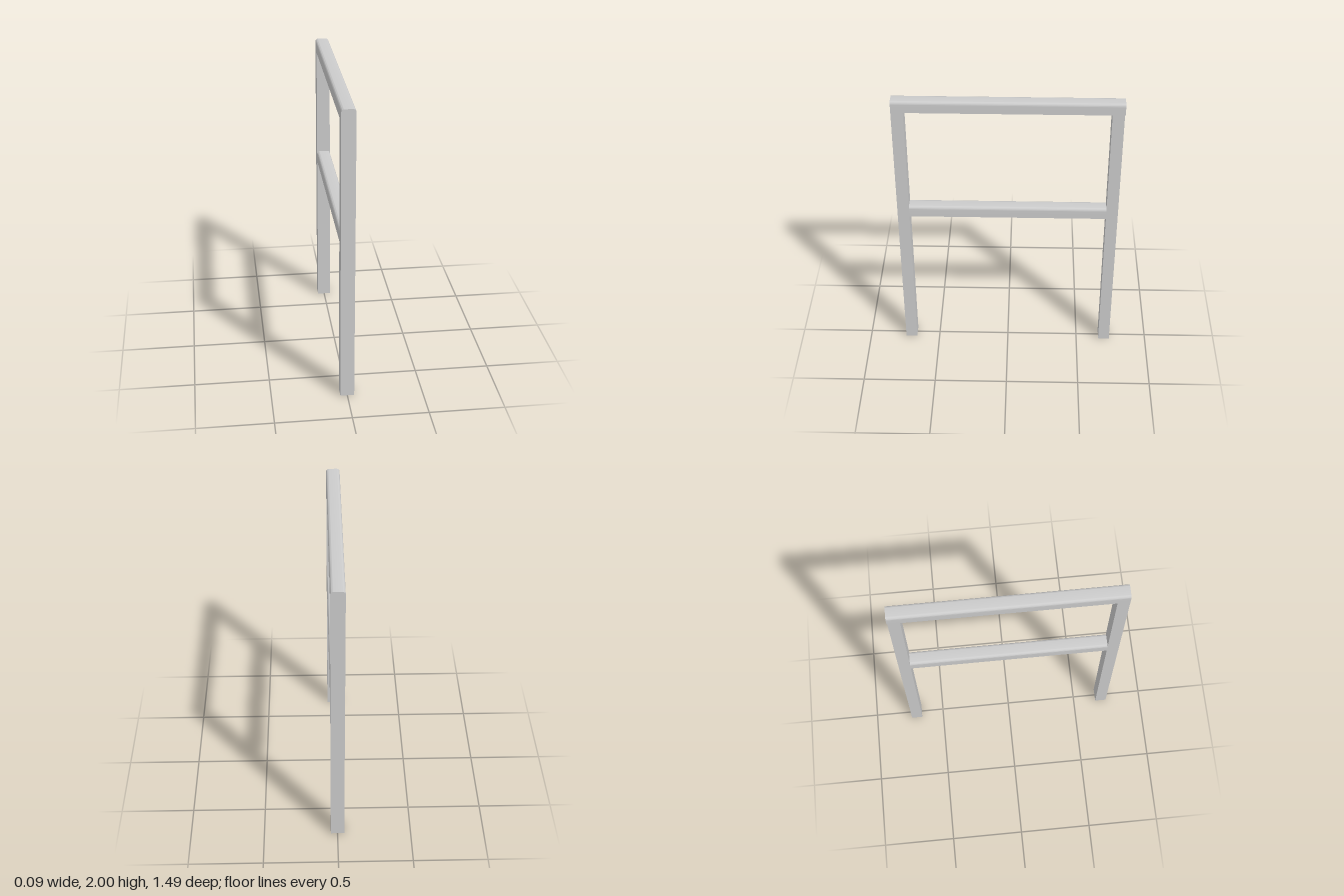
import * as THREE from 'three';
import { toCreasedNormals } from 'three/addons/utils/BufferGeometryUtils.js';

const HALF_W = 0.046; // half thickness across x
const RAIL_H = 0.08;
const material = new THREE.MeshStandardMaterial({ color: 0xcccccc });

// Rail along z with its two upper edges rounded
function rail(name, bottom, zBack, zFront) {
  const r = 0.02;
  const s = new THREE.Shape();
  s.moveTo(-HALF_W, 0);
  s.lineTo(HALF_W, 0);
  s.lineTo(HALF_W, RAIL_H - r);
  s.absarc(HALF_W - r, RAIL_H - r, r, 0, Math.PI / 2, false);
  s.lineTo(-HALF_W + r, RAIL_H);
  s.absarc(-HALF_W + r, RAIL_H - r, r, Math.PI / 2, Math.PI, false);
  s.closePath();
  const geometry = new THREE.ExtrudeGeometry(s, {
    depth: zFront - zBack, bevelEnabled: false, curveSegments: 6,
  });
  const mesh = new THREE.Mesh(toCreasedNormals(geometry, 0.5), material);
  mesh.name = name;
  mesh.position.set(0, bottom, zBack);
  return mesh;
}

// Square upright standing on the ground
function post(name, zBack, zFront, height) {
  const mesh = new THREE.Mesh(new THREE.BoxGeometry(HALF_W * 2, height, zFront - zBack), material);
  mesh.name = name;
  mesh.position.set(0, height / 2, (zBack + zFront) / 2);
  return mesh;
}

export function createModel() {
  const group = new THREE.Group();
  group.name = 'railing';
  group.add(
    post('frontPost', 0.664, 0.743, 2 - RAIL_H),
    post('backPost', -0.739, -0.661, 2 - RAIL_H),
    rail('topRail', 2 - RAIL_H, -0.743, 0.743),
    rail('middleRail', 1.1, -0.661, 0.664),
  );
  return group;
}
